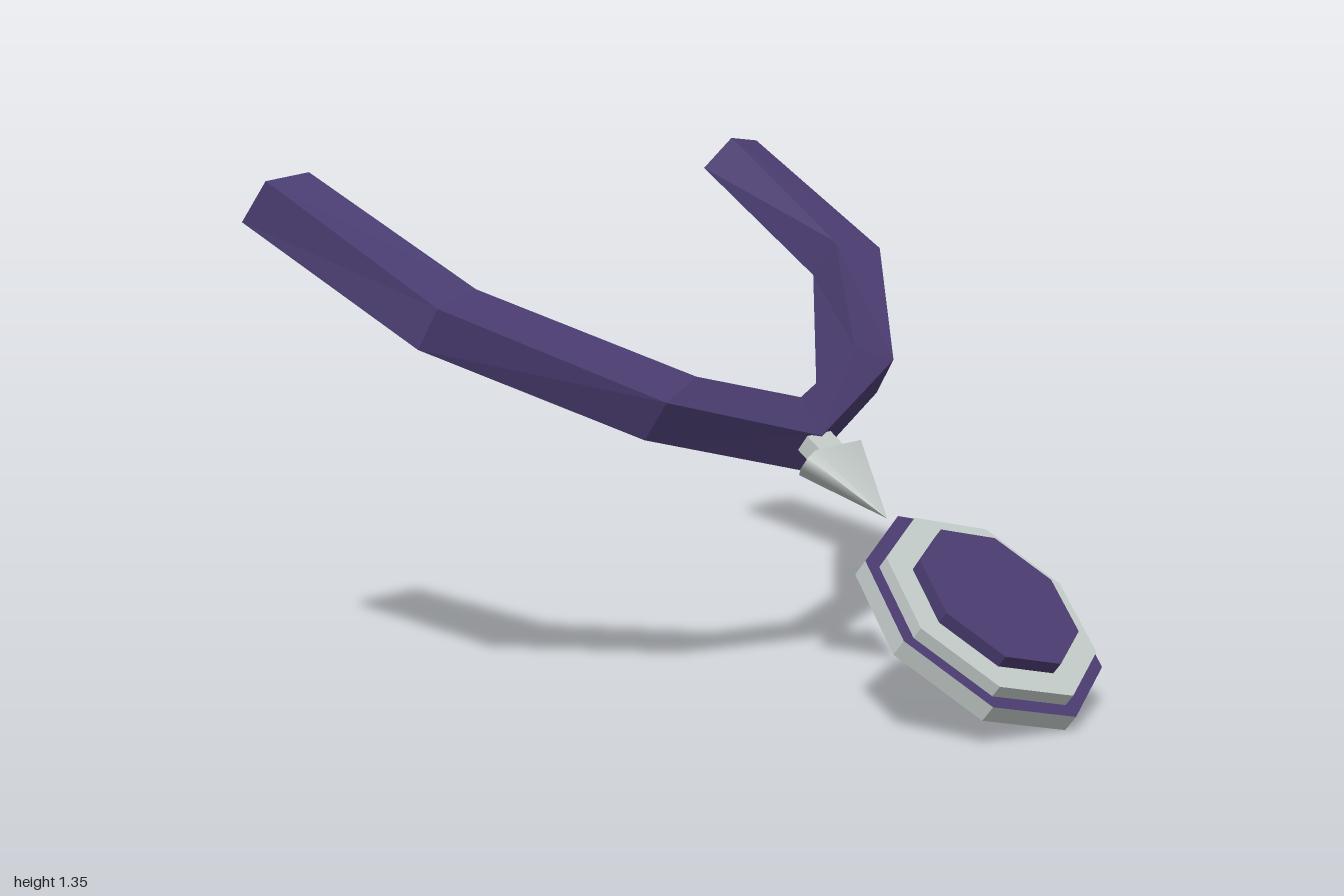
import * as THREE from 'three';

const purple = new THREE.MeshStandardMaterial({ color: 0x4a3c70 });
purple.name = 'purple';
const silver = new THREE.MeshStandardMaterial({ color: 0xc3cbc9 });
silver.name = 'silver';

// Split faces so every facet keeps a hard edge
function flat(geometry) {
  const g = geometry.index ? geometry.toNonIndexed() : geometry;
  g.computeVertexNormals();
  return g;
}

function addMesh(parent, name, geometry, material) {
  const mesh = new THREE.Mesh(geometry, material);
  mesh.name = name;
  parent.add(mesh);
  return mesh;
}

// Skin a row of four-cornered cross-sections and close both ends
function loft(rings) {
  const index = [];
  const n = 4, last = (rings.length - 1) * n;
  for (let i = 0; i < last; i += n) {
    for (let j = 0; j < n; j++) {
      const k = (j + 1) % n;
      index.push(i + j, i + n + j, i + n + k, i + j, i + n + k, i + k);
    }
  }
  index.push(0, 1, 2, 0, 2, 3, last, last + 2, last + 1, last, last + 3, last + 2);
  const g = new THREE.BufferGeometry();
  g.setAttribute('position', new THREE.Float32BufferAttribute(rings.flat(2), 3));
  g.setIndex(index);
  return flat(g);
}

export function createModel() {
  const model = new THREE.Group();
  model.name = 'necklace';

  // Collar: sections from the centre to the left end, then mirrored.
  // Corner order: outer top, inner top, inner bottom, outer bottom.
  const half = [
    [[0, 0.66, 0.15], [0, 0.755, 0.08], [0, 0.665, -0.025], [0, 0.56, 0.094]],
    [[0.48, 0.795, 0.03], [0.335, 0.842, 0.005], [0.3, 0.735, -0.1], [0.49, 0.695, -0.035]],
    [[0.91, 1.045, -0.335], [0.74, 1.075, -0.37], [0.72, 0.975, -0.435], [0.93, 0.942, -0.385]],
    [[0.985, 1.335, -0.86], [0.85, 1.35, -0.848], [0.795, 1.26, -0.91], [1, 1.228, -0.937]],
  ];
  const mirrored = half.slice(1).reverse()
    .map(ring => ring.map(([x, y, z]) => [-x, y, z]));
  addMesh(model, 'collar', loft([...mirrored, ...half]), purple);

  // Pendant link: flattened cone with a chamfered base, and a small block
  const link = new THREE.Group();
  link.name = 'link';
  link.position.set(0, 0.606, 0.177);
  link.rotation.x = 0.645;
  model.add(link);

  const cone = new THREE.ConeGeometry(1 / Math.cos(Math.PI / 8), 0.232, 8, 1, false, Math.PI / 8);
  cone.scale(0.11, 1, 0.045);
  const p = cone.attributes.position;
  for (let i = 0; i < p.count; i++) {
    const x = p.getX(i);
    if (Math.abs(x) > 0.03 && Math.abs(x) < 0.06) p.setX(i, Math.sign(x) * 0.097);
  }
  cone.rotateX(Math.PI / 2);
  cone.translate(0, 0, 0.116);
  addMesh(link, 'linkCone', cone, silver);
  addMesh(link, 'linkBlock', new THREE.BoxGeometry(0.1, 0.05, 0.07), silver)
    .position.z = -0.03;

  // Medallion: three stacked octagonal discs on a tilted plane
  const medallion = new THREE.Group();
  medallion.name = 'medallion';
  medallion.position.set(0, 0.22, 0.638);
  medallion.rotation.x = 0.675;
  model.add(medallion);

  const discs = [
    ['baseDisc', 0.35, 0, 0.05, [silver, purple, silver]],
    ['middleDisc', 0.31, 0.05, 0.085, silver],
    ['frontDisc', 0.234, 0.085, 0.12, purple],
  ];
  for (const [name, r, bottom, top, material] of discs) {
    const g = flat(new THREE.CylinderGeometry(r, r, top - bottom, 8));
    addMesh(medallion, name, g, material).position.y = (bottom + top) / 2;
  }

  return model;
}
